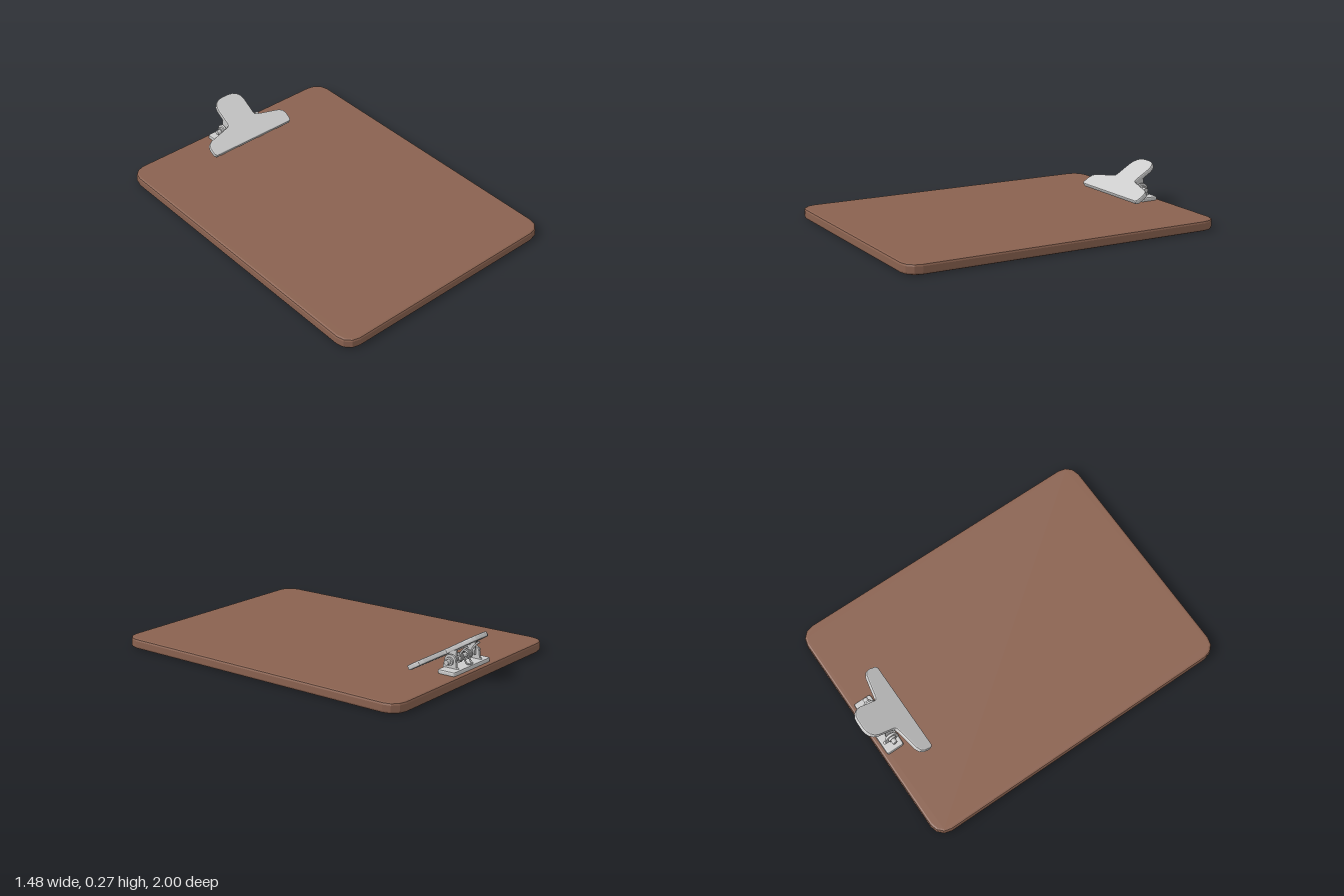
import * as THREE from 'three';

const metal = new THREE.MeshStandardMaterial({ color: 0xcccccc });
const wood = new THREE.MeshStandardMaterial({ color: 0x8a6250 });

// Bevelled slab from an outline, centred on its thickness; the bevel stays inside the outline
function slab(shape, thickness, bevel, curveSegments = 4) {
  const geo = new THREE.ExtrudeGeometry(shape, {
    depth: thickness - 2 * bevel, bevelEnabled: true, bevelThickness: bevel,
    bevelSize: bevel, bevelOffset: -bevel, bevelSegments: 2, curveSegments,
  });
  return geo.translate(0, 0, -(thickness - 2 * bevel) / 2);
}

function add(parent, name, geo, material = metal) {
  const mesh = new THREE.Mesh(geo, material);
  mesh.name = name;
  parent.add(mesh);
  return mesh;
}

// Rectangle whose corners are cut by three short edges
function roundedRect(w, h, r) {
  const pts = [];
  [[1, 1], [-1, 1], [-1, -1], [1, -1]].forEach(([sx, sy], i) => {
    for (let k = 0; k <= 3; k++) {
      const a = (i + k / 3) * Math.PI / 2;
      pts.push(new THREE.Vector2(sx * (w / 2 - r) + r * Math.cos(a), sy * (h / 2 - r) + r * Math.sin(a)));
    }
  });
  return new THREE.Shape(pts);
}

// Wide jaw, narrow neck and rounded thumb grip, mirrored left to right
function clipOutline() {
  const half = [
    [0.28, -0.165], [0.29, -0.158], [0.295, -0.145], [0.295, -0.105], [0.286, -0.08], [0.262, -0.064],
    [0.115, -0.028], [0.104, -0.02], [0.101, -0.01], [0.101, 0.098], [0.094, 0.125], [0.078, 0.147], [0.055, 0.16], [0.025, 0.165],
  ];
  const mirrored = half.map(([x, y]) => [-x, y]).reverse();
  return new THREE.Shape([...half, ...mirrored].map(([x, y]) => new THREE.Vector2(x, y)));
}

const rodX = (r, length, sides = 12) => new THREE.CylinderGeometry(r, r, length, sides).rotateZ(Math.PI / 2);

export function createModel() {
  const model = new THREE.Group();
  model.name = 'clipboard';

  // Board
  const board = add(model, 'board', slab(roundedRect(1.48, 1.965, 0.09), 0.06, 0.013), wood);
  board.rotation.x = -Math.PI / 2;
  board.position.set(0, 0.03, 0.0175);

  const clip = new THREE.Group();
  clip.name = 'clip';
  model.add(clip);

  // Mounting plate on the board
  const base = add(clip, 'mountingPlate', slab(roundedRect(0.36, 0.11, 0.012), 0.028, 0.008));
  base.rotation.x = -Math.PI / 2;
  base.position.set(0, 0.07, -0.883);

  // Tilted pressing plate
  const lever = new THREE.Group();
  lever.name = 'lever';
  lever.position.set(0, 0.175, -0.85);
  lever.rotation.x = THREE.MathUtils.degToRad(-59);
  clip.add(lever);
  add(lever, 'pressingPlate', slab(clipOutline(), 0.03, 0.008));

  const pivot = new THREE.Vector3(0, 0.122, -0.87);

  // Bracket ears, with rounded tops and feet flared toward the back
  const ear = new THREE.Shape();
  ear.moveTo(-0.045, -0.05);
  ear.lineTo(0.06, -0.05);
  ear.lineTo(0.06, -0.043);
  ear.lineTo(0.042, -0.03);
  ear.lineTo(0.038, 0);
  ear.absarc(0, 0, 0.038, 0, Math.PI, false);
  ear.lineTo(-0.045, -0.03);

  for (const side of [-1, 1]) {
    const bracket = add(clip, 'bracketEar', slab(ear, 0.016, 0.004));
    bracket.rotation.y = Math.PI / 2;
    bracket.position.copy(pivot).setX(side * 0.115);

    // Lever lug hanging from the pressing plate onto the pin
    const lug = add(clip, 'leverLug', new THREE.BoxGeometry(0.012, 0.07, 0.05));
    lug.position.set(side * 0.092, 0.145, -0.868);

    // Washer and pin head
    add(clip, 'washer', rodX(0.024, 0.012)).position.copy(pivot).setX(side * 0.129);
    add(clip, 'pinHead', rodX(0.015, 0.03, 8)).position.copy(pivot).setX(side * 0.145);

    // Spring leg running up under the pressing plate
    const leg = new THREE.CatmullRomCurve3([
      new THREE.Vector3(side * 0.062, 0.122, -0.893),
      new THREE.Vector3(side * 0.06, 0.15, -0.893),
      new THREE.Vector3(side * 0.058, 0.185, -0.92),
      new THREE.Vector3(side * 0.058, 0.203, -0.945),
    ]);
    add(clip, 'springLeg', new THREE.TubeGeometry(leg, 10, 0.006, 6));
  }

  // Hinge pin
  add(clip, 'hingePin', rodX(0.013, 0.27)).position.copy(pivot);

  // Coil springs wound on the pin, either side of a gap
  for (const side of [-1, 1]) {
    const turns = 4, pts = [];
    for (let i = 0; i <= turns * 10; i++) {
      const a = Math.PI + (i / 10) * Math.PI * 2;
      pts.push(new THREE.Vector3(side * (0.062 - 0.04 * i / (turns * 10)), Math.sin(a) * 0.023, Math.cos(a) * 0.023));
    }
    const coil = new THREE.TubeGeometry(new THREE.CatmullRomCurve3(pts), 80, 0.005, 6);
    add(clip, 'coilSpring', coil).position.copy(pivot);
  }

  // Spring bridge resting on the mounting plate
  const bridge = new THREE.CatmullRomCurve3([
    [-0.022, 0.122, -0.893], [-0.022, 0.095, -0.91], [-0.015, 0.088, -0.925],
    [0.015, 0.088, -0.925], [0.022, 0.095, -0.91], [0.022, 0.122, -0.893],
  ].map((p) => new THREE.Vector3(...p)));
  add(clip, 'springBridge', new THREE.TubeGeometry(bridge, 20, 0.005, 6));

  return model;
}
